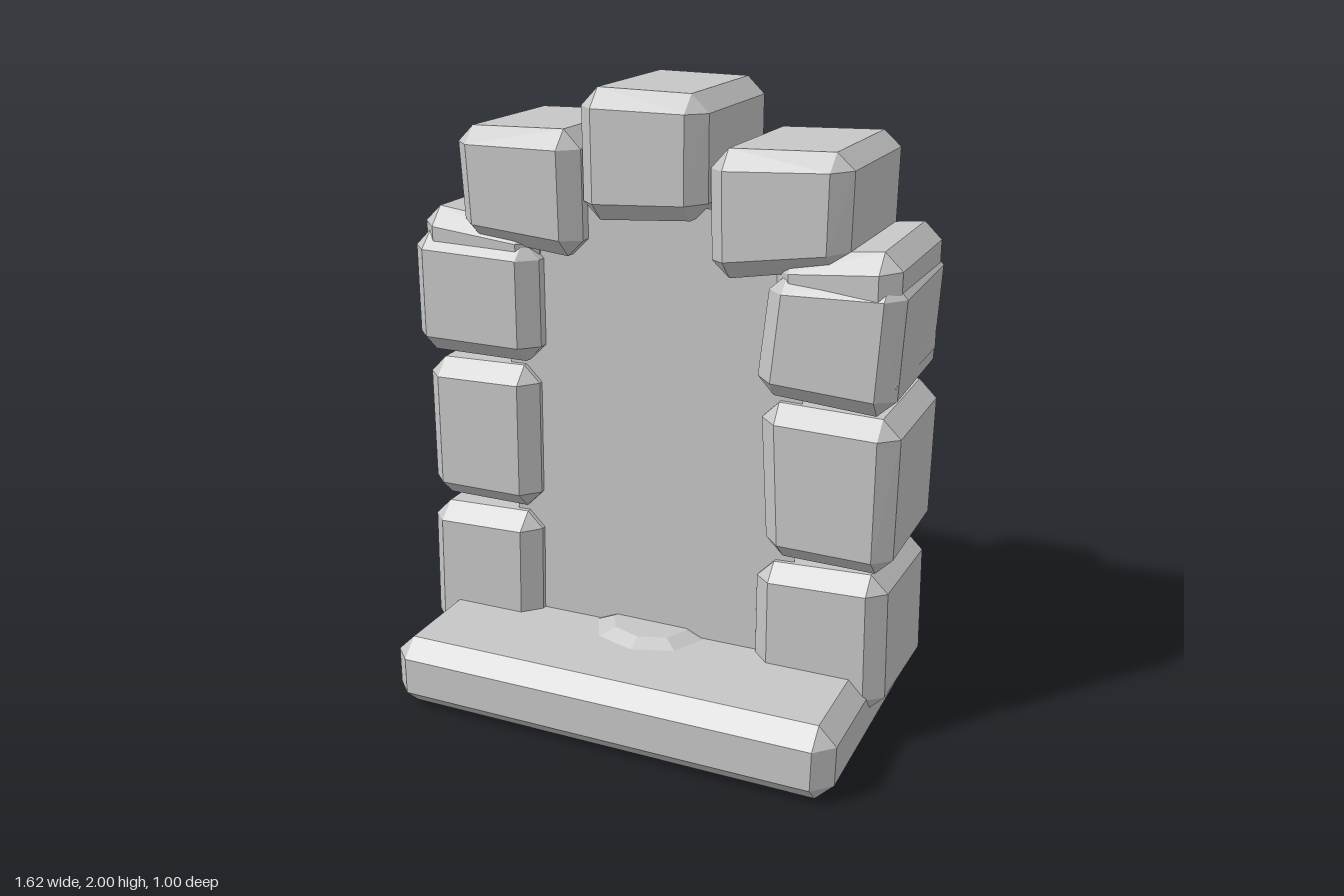
import * as THREE from 'three';
import { ConvexGeometry } from 'three/addons/geometries/ConvexGeometry.js';

const stoneGrey = new THREE.MeshStandardMaterial({ color: 0xc6c6c6 });
const panelGrey = stoneGrey.clone();
panelGrey.side = THREE.DoubleSide;

// Chamfered block stretched over a front outline [bottom left, bottom right, top right, top left],
// running from z0 (back) to z1 (front); the back outline is shifted by back = [dx, dy].
function block(name, [bl, br, tr, tl], z0, z1, { c = 0.055, back = [0, 0], skew = 0 } = {}) {
  const w = (br[0] - bl[0] + tr[0] - tl[0]) / 2;
  const h = (tl[1] - bl[1] + tr[1] - br[1]) / 2;
  const d = z1 - z0;
  const points = [];
  const mix = (a, b, t) => a + (b - a) * t;
  const place = (u, v, t) => {
    const p = [0, 1].map((i) =>
      mix(mix(bl[i], br[i], u), mix(tl[i], tr[i], u), v) + back[i] * (1 - t));
    points.push(new THREE.Vector3(p[0], p[1], mix(z0, z1, t) + skew * (u - 0.5)));
  };
  for (const i of [0, 1]) for (const j of [0, 1]) for (const k of [0, 1]) {
    const inset = (s, size) => (s ? 1 - c / size : c / size);
    const u = inset(i, w), v = inset(j, h), t = inset(k, d);
    place(i, v, t);
    place(u, j, t);
    place(u, v, k);
  }
  const mesh = new THREE.Mesh(new ConvexGeometry(points), stoneGrey);
  mesh.name = name;
  return mesh;
}

export function createModel() {
  const model = new THREE.Group();
  model.name = 'stoneArch';

  // Threshold slab
  model.add(block('baseSlab',
    [[-0.75, 0], [0.75, 0], [0.755, 0.25], [-0.75, 0.235]], -0.5, 0.495, { c: 0.058 }));

  // Arch stones, from the foot of each side up to the keystone
  const stones = [
    ['rightFootStone', [[-0.81, 0.1], [-0.4, 0.1], [-0.39, 0.59], [-0.8, 0.575]], -0.37, 0.15, { back: [0.01, 0.01] }],
    ['rightMiddleStone', [[-0.79, 0.61], [-0.39, 0.61], [-0.385, 1.1], [-0.79, 1.09]], -0.37, 0.15, { back: [0, 0.01] }],
    ['rightShoulderStone', [[-0.815, 1.12], [-0.37, 1.12], [-0.37, 1.51], [-0.815, 1.52]], -0.38, 0.165, { back: [0.02, 0] }],
    ['rightShoulderCap', [[-0.78, 1.14], [-0.38, 1.16], [-0.38, 1.55], [-0.79, 1.6]], -0.385, 0.14, { back: [0.01, 0] }],
    ['rightArchStone', [[-0.62, 1.515], [-0.21, 1.475], [-0.215, 1.87], [-0.64, 1.86]], -0.385, 0.17, { back: [0.01, 0] }],
    ['keystone', [[-0.205, 1.6], [0.2, 1.63], [0.2, 1.995], [-0.21, 2]], -0.39, 0.17, {}],
    ['leftArchStone', [[0.21, 1.455], [0.63, 1.53], [0.635, 1.86], [0.2, 1.845]], -0.39, 0.16, { back: [0.01, 0] }],
    ['leftShoulderCap', [[0.42, 1.15], [0.79, 1.14], [0.79, 1.6], [0.4, 1.55]], -0.39, 0.155, { skew: 0.04 }],
    ['leftShoulderStone', [[0.36, 1.13], [0.79, 1.1], [0.81, 1.52], [0.4, 1.5]], -0.38, 0.17, { back: [-0.01, 0] }],
    ['leftMiddleStone', [[0.4, 0.6], [0.8, 0.595], [0.805, 1.09], [0.37, 1.1]], -0.37, 0.15, {}],
    ['leftFootStone', [[0.37, 0.13], [0.8, 0.13], [0.79, 0.595], [0.37, 0.575]], -0.365, 0.15, { back: [0, -0.03] }],
  ];
  for (const s of stones) model.add(block(...s));

  // Thin panel filling the doorway
  const half = [[0.48, 0.2], [0.5, 1.35], [0.44, 1.52], [0.24, 1.66]];
  const outline = [...half, ...half.map(([x, y]) => [-x, y]).reverse()];
  const panel = new THREE.Mesh(
    new THREE.ShapeGeometry(new THREE.Shape(outline.map(([x, y]) => new THREE.Vector2(x, y)))), panelGrey);
  panel.name = 'doorwayPanel';
  panel.position.z = 0.08;
  model.add(panel);

  // Low flat pebble at the foot of the panel
  const pebbleGeometry = new THREE.CylinderGeometry(0.13, 0.21, 0.035, 8).toNonIndexed();
  pebbleGeometry.scale(1, 1, 0.8);
  pebbleGeometry.computeVertexNormals();
  const pebble = new THREE.Mesh(pebbleGeometry, stoneGrey);
  pebble.name = 'thresholdPebble';
  pebble.position.set(0, 0.25, 0.09);
  model.add(pebble);

  return model;
}
